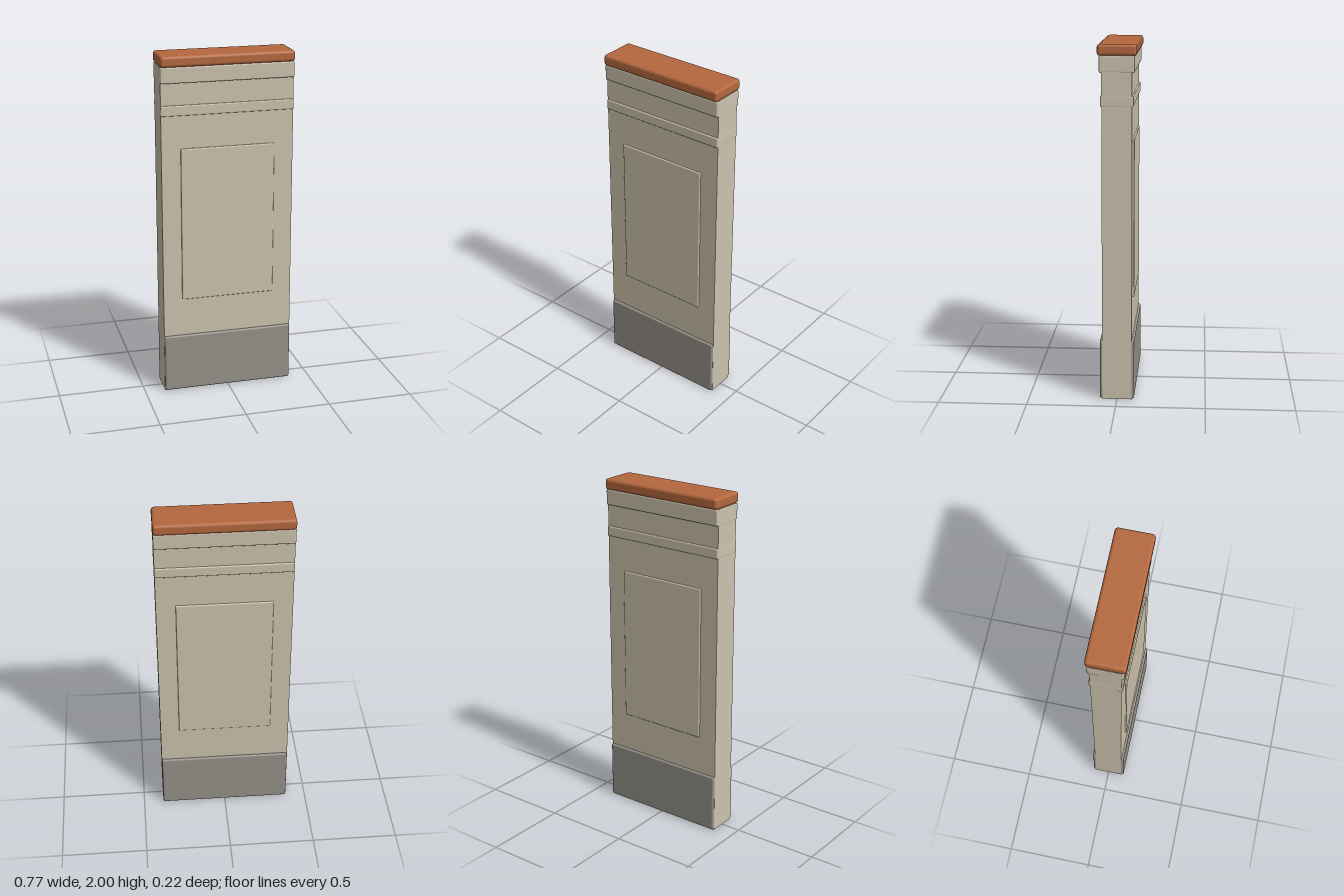
import * as THREE from 'three';
import { RoundedBoxGeometry } from 'three/addons/geometries/RoundedBoxGeometry.js';

export function createModel() {
  const model = new THREE.Group();
  model.name = 'wallPier';

  const material = (name, color) => {
    const m = new THREE.MeshStandardMaterial({ color });
    m.name = name;
    return m;
  };
  const plaster = material('plaster', 0xcdc3ae);
  const stone = material('greyStone', 0x959189);
  const brick = material('terracotta', 0xb4683e);

  // Centred block with eased edges, given its half width, half depth and height range
  const block = (name, mat, halfX, halfZ, y0, y1, bevel = 0) => {
    const size = [halfX * 2, y1 - y0, halfZ * 2];
    const geometry = bevel
      ? new RoundedBoxGeometry(...size, 2, bevel)
      : new THREE.BoxGeometry(...size);
    const mesh = new THREE.Mesh(geometry, mat);
    mesh.name = name;
    mesh.position.y = (y0 + y1) / 2;
    model.add(mesh);
  };

  // Main slab, visible at both ends and underneath
  block('wallCore', plaster, 0.382, 0.083, 0, 1.94);

  // Courses that run through the slab and stand proud of front and back
  block('plinth', stone, 0.381, 0.097, 0.002, 0.345, 0.01);
  block('raisedPanel', plaster, 0.272, 0.091, 0.57, 1.473, 0.007);
  block('lowerBand', plaster, 0.383, 0.091, 1.663, 1.722, 0.007);
  block('upperBand', plaster, 0.383, 0.097, 1.847, 1.938, 0.008);

  // Coping on top
  block('copingCap', brick, 0.384, 0.108, 1.937, 2, 0.017);

  return model;
}
